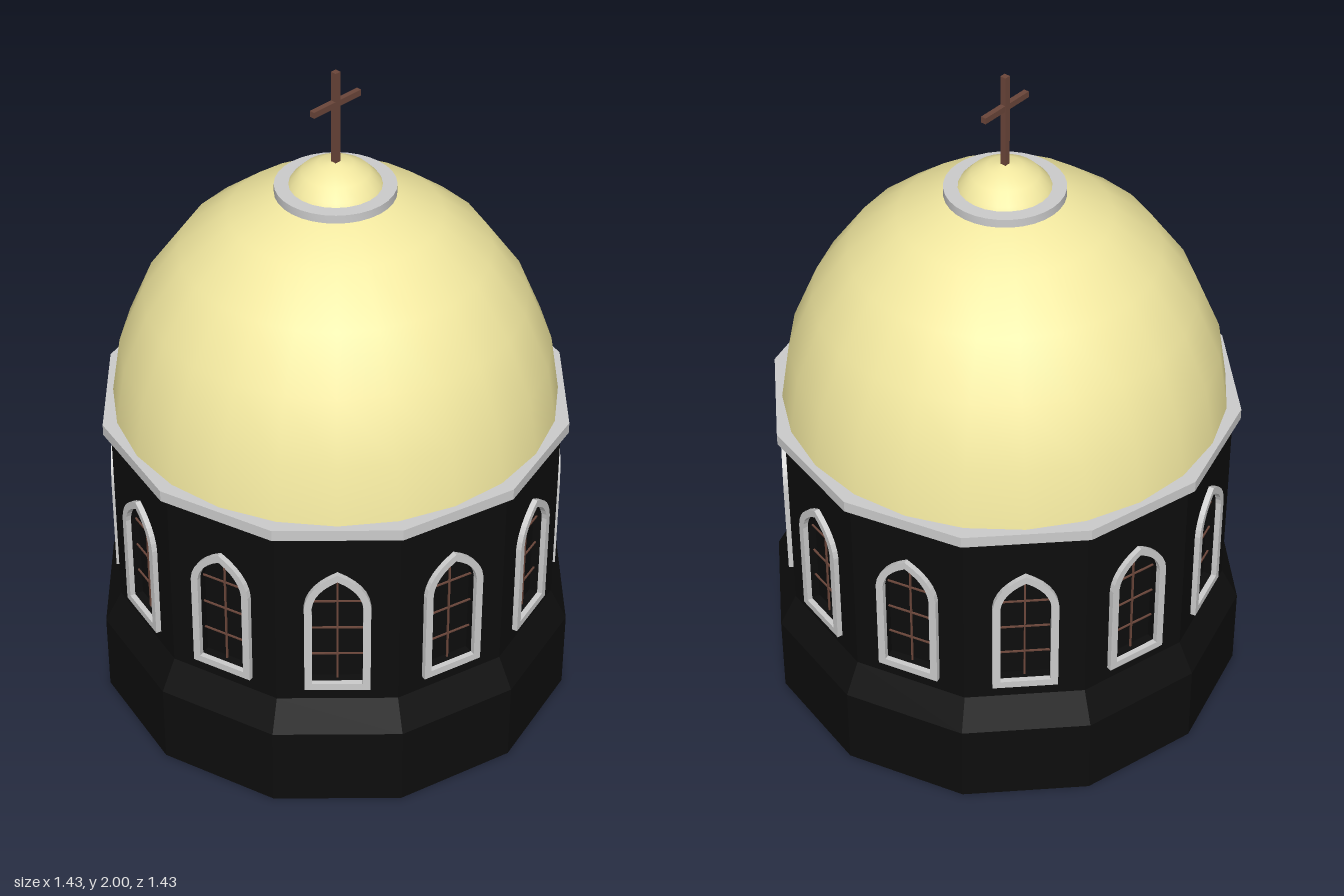
import * as THREE from 'three';
import { toCreasedNormals } from 'three/addons/utils/BufferGeometryUtils.js';

const SIDES = 12;
const DRUM_R = 0.663;
const APOTHEM = DRUM_R * Math.cos(Math.PI / SIDES);
const HALF_SIDE = DRUM_R * Math.sin(Math.PI / SIDES);

const stone = new THREE.MeshStandardMaterial({ color: 0xcccccc });
const dark = new THREE.MeshStandardMaterial({ color: 0x0d0d0d, flatShading: true, side: THREE.DoubleSide });
const gold = new THREE.MeshStandardMaterial({ color: 0xf2e8a0, side: THREE.DoubleSide });
const bronze = new THREE.MeshStandardMaterial({ color: 0x6b463a });

function add(parent, name, geometry, material, x = 0, y = 0, z = 0) {
  const mesh = new THREE.Mesh(geometry, material);
  mesh.name = name;
  mesh.position.set(x, y, z);
  parent.add(mesh);
  return mesh;
}

const lathe = (points, segments) =>
  new THREE.LatheGeometry(points.map(([r, y]) => new THREE.Vector2(r, y)), segments);

// Square-section ring around the y axis
const ring = (inner, outer, y0, y1, segments) => toCreasedNormals(
  lathe([[inner, y0], [outer, y0], [outer, y1], [inner, y1], [inner, y0]], segments), 0.45);

// Pointed-arch outline
function arch(target, w, y0, spring, apex) {
  const h = apex - spring;
  target.moveTo(-w, y0);
  target.lineTo(w, y0);
  target.lineTo(w, spring);
  target.quadraticCurveTo(w * 0.92, spring + h * 0.62, 0, apex);
  target.quadraticCurveTo(-w * 0.92, spring + h * 0.62, -w, spring);
  target.closePath();
  return target;
}
const opening = () => arch(new THREE.Path(), 0.071, 0.412, 0.69, 0.782);

function archRing(depth) {
  const shape = arch(new THREE.Shape(), 0.093, 0.39, 0.69, 0.806);
  shape.holes.push(opening());
  return new THREE.ExtrudeGeometry(shape, { depth, bevelEnabled: false, curveSegments: 6 });
}

export function createModel() {
  const model = new THREE.Group();
  model.name = 'domedTower';

  // Open plinth with a sloped shoulder
  add(model, 'plinth', lathe([[0.713, 0], [0.713, 0.25], [DRUM_R, 0.345]], SIDES), dark);

  // Shared geometry for the drum bays
  const wallShape = new THREE.Shape([
    new THREE.Vector2(-HALF_SIDE, 0.345), new THREE.Vector2(HALF_SIDE, 0.345),
    new THREE.Vector2(HALF_SIDE, 0.94), new THREE.Vector2(-HALF_SIDE, 0.94)]);
  wallShape.holes.push(opening());
  const wall = new THREE.ShapeGeometry(wallShape, 6);
  const frame = archRing(0.016);
  const reveal = archRing(0.025);
  const pane = new THREE.BoxGeometry(0.19, 0.42, 0.02);
  const mullion = new THREE.BoxGeometry(0.005, 0.37, 0.005);
  const glazingBar = new THREE.BoxGeometry(0.142, 0.004, 0.005);

  // Twelve bays, each with one recessed arched window
  for (let i = 0; i < SIDES; i++) {
    const bay = new THREE.Group();
    bay.name = 'windowBay';
    const a = (i + 0.5) * 2 * Math.PI / SIDES;
    bay.position.set(Math.sin(a) * APOTHEM, 0, Math.cos(a) * APOTHEM);
    bay.rotation.y = a;
    add(bay, 'drumWall', wall, dark);
    add(bay, 'windowFrame', frame, stone);
    add(bay, 'windowReveal', reveal, dark, 0, 0, -0.025);
    add(bay, 'windowPane', pane, dark, 0, 0.598, -0.035);
    add(bay, 'windowMullion', mullion, bronze, 0, 0.597, -0.015);
    for (const y of [0.5, 0.595, 0.69]) add(bay, 'glazingBar', glazingBar, bronze, 0, y, -0.015);
    model.add(bay);
  }

  // Cornice and main dome
  add(model, 'cornice', ring(0.58, 0.686, 0.933, 0.967, SIDES), stone);
  add(model, 'dome', lathe([[0.645, 0.96], [0.617, 1.14], [0.545, 1.31],
    [0.44, 1.457], [0.3, 1.567], [0.145, 1.635], [0, 1.655]], 24), gold);

  // Crowning ring and small cap
  add(model, 'crownRing', ring(0.125, 0.17, 1.63, 1.655, 32), stone);
  add(model, 'crownCap', lathe([[0.14, 1.635], [0.125, 1.665], [0.095, 1.696],
    [0.05, 1.719], [0, 1.727]], 24), gold);

  // Cross, its arms running along z
  add(model, 'crossPost', new THREE.BoxGeometry(0.018, 0.3, 0.018), bronze, 0, 1.85, 0);
  add(model, 'crossArm', new THREE.BoxGeometry(0.016, 0.018, 0.18), bronze, 0, 1.905, 0);

  return model;
}
